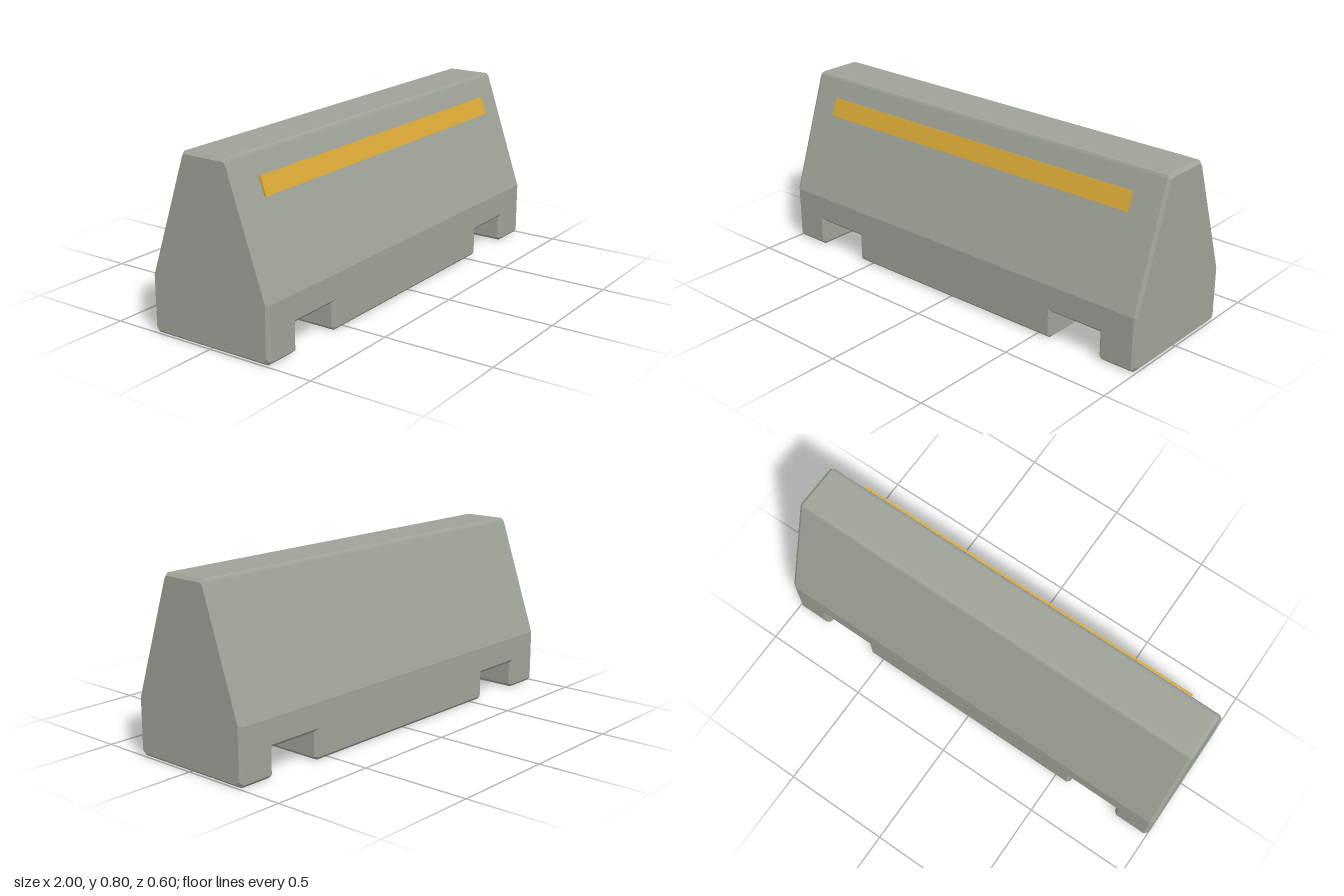
import * as THREE from 'three';

const B = 0.015;           // edge bevel
const SLOT = 0.125;        // slot height
const SLOT_OUT = 0.82, SLOT_IN = 0.575;
const MID = 0.4;           // height of the end cap centre

// half cross-section [z, y] from the bottom edge up to the top edge
const upper = [[0.3, SLOT + B], [0.3, 0.25], [0.115, 0.786], [0.109, 0.796], [0.098, 0.8]];
const full = [[0.3 - B, 0], [0.3, B], [0.3, SLOT + B], ...upper];
const slotEdge = [[0.3 - B, B], [0.3 - B, B], [0.3 - B, SLOT], ...upper];
const slot = [[0.3 - B, SLOT], [0.3 - B, SLOT], [0.3 - B, SLOT], ...upper];
const inset = full.map(([z, y]) => [z * 0.955, MID + (y - MID) * 0.967]);
const centre = full.map(() => [0, MID]);

// cross-sections along one half, from the end towards the middle
const halfStations = [
  [1, centre], [1, inset], [1 - B, full],
  [SLOT_OUT + B, full], [SLOT_OUT, slotEdge], [SLOT_OUT, slot],
  [SLOT_IN, slot], [SLOT_IN, slotEdge], [SLOT_IN - B, full],
];

function loft(stations) {
  const rings = stations.map(([x, half]) => {
    const front = half.map(([z, y]) => new THREE.Vector3(x, y, z));
    const back = half.map(([z, y]) => new THREE.Vector3(x, y, -z)).reverse();
    return [...front, ...back];
  });
  const points = [];
  for (let i = 0; i < rings.length - 1; i++) {
    const n = rings[i].length;
    for (let j = 0; j < n; j++) {
      const k = (j + 1) % n;
      const a = rings[i][j], b = rings[i + 1][j], c = rings[i + 1][k], d = rings[i][k];
      for (const tri of [[a, b, c], [a, c, d]]) {
        if (new THREE.Triangle(...tri).getArea() > 1e-9) points.push(...tri);
      }
    }
  }
  const geometry = new THREE.BufferGeometry().setFromPoints(points);
  geometry.computeVertexNormals();
  return geometry;
}

export function createModel() {
  const group = new THREE.Group();
  group.name = 'roadBarrier';

  // concrete body with two lifting slots through the base
  const left = halfStations.map(([x, half]) => [-x, half]);
  const right = [...halfStations].reverse();
  const body = new THREE.Mesh(
    loft([...left, ...right]),
    new THREE.MeshStandardMaterial({ color: 0x9ea398 }),
  );
  body.name = 'barrierBody';
  group.add(body);

  // reflective strip lying on the sloped front
  const strip = new THREE.Mesh(
    new THREE.BoxGeometry(1.7, 0.085, 0.009),
    new THREE.MeshStandardMaterial({ color: 0xd9a935 }),
  );
  strip.name = 'reflectiveStrip';
  strip.position.set(0, 0.667, 0.1635);
  strip.rotation.x = -Math.atan2(0.185, 0.536);
  group.add(strip);

  return group;
}
